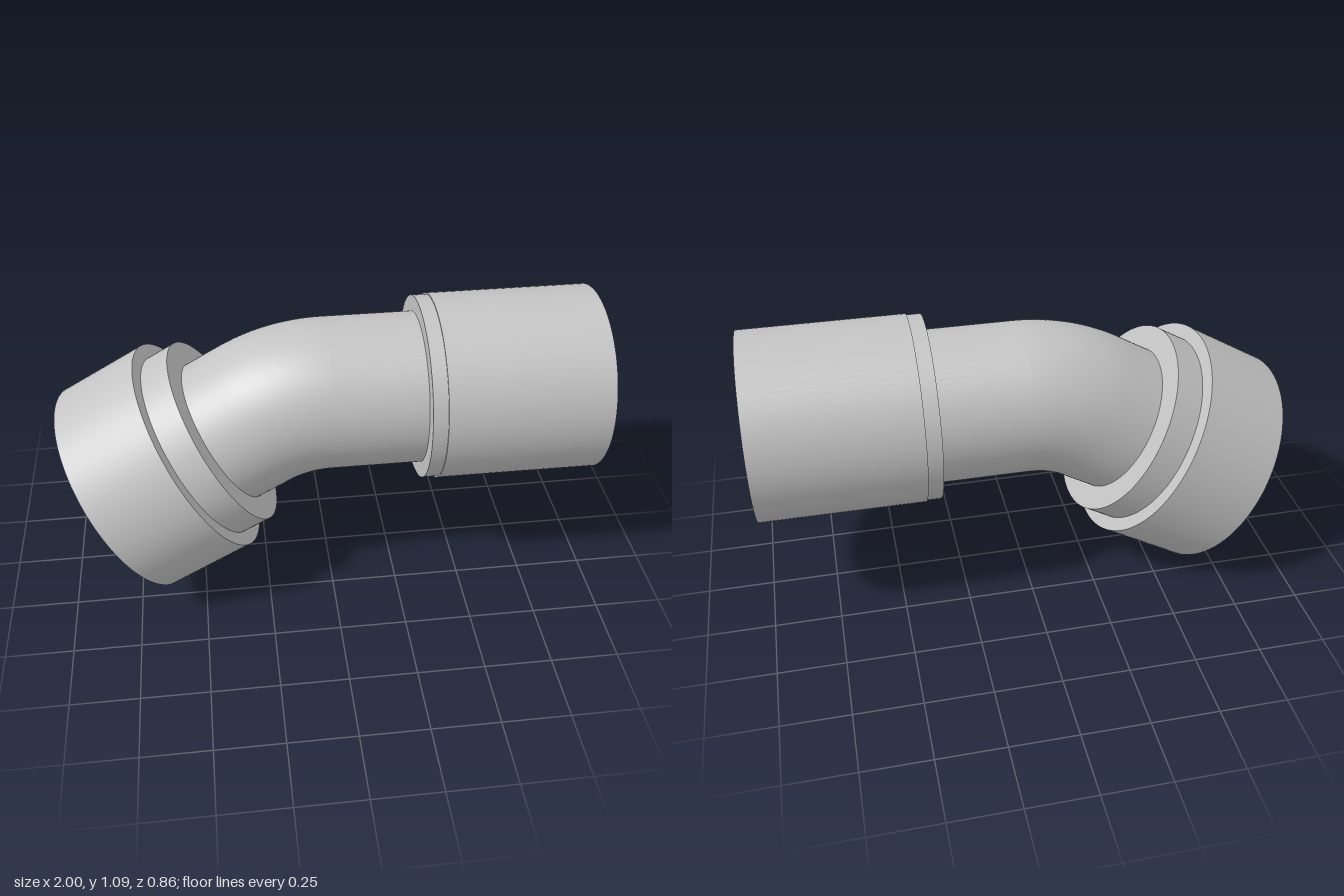
import * as THREE from 'three';
import { mergeGeometries } from 'three/addons/utils/BufferGeometryUtils.js';

const SIDES = 96;
const AXIS_Y = 0.7435;   // height of the straight run
const ANGLE = Math.PI / 6;
const BEND_R = 0.53;     // centreline radius of the elbow
const PIPE = 0.285, BORE = 0.242;

const grey = new THREE.MeshStandardMaterial({ color: 0xc4c4c4, side: THREE.DoubleSide });
grey.name = 'light grey';

// Revolve each profile segment on its own so that every edge stays sharp.
// Points are [radius, distance along axis]; outside runs forward, inside back.
function turned(name, points) {
  const rings = [];
  for (let i = 0; i < points.length - 1; i++) {
    const pair = [points[i], points[i + 1]].map(([r, d]) => new THREE.Vector2(r, d));
    rings.push(new THREE.LatheGeometry(pair, SIDES));
  }
  const mesh = new THREE.Mesh(mergeGeometries(rings), grey);
  mesh.name = name;
  return mesh;
}

function elbowWall(name, radius) {
  const geo = new THREE.TorusGeometry(BEND_R, radius, SIDES, 32, ANGLE);
  geo.rotateZ(Math.PI / 2);
  geo.translate(0, AXIS_Y - BEND_R, 0);
  const mesh = new THREE.Mesh(geo, grey);
  mesh.name = name;
  return mesh;
}

export function createModel() {
  const model = new THREE.Group();
  model.name = 'pipeElbow';

  // Bent section
  const elbow = new THREE.Group();
  elbow.name = 'elbow';
  elbow.add(elbowWall('elbowOuterWall', PIPE), elbowWall('elbowBore', BORE));

  // Straight run with a chamfered tip
  const straight = new THREE.Group();
  straight.name = 'straightEnd';
  straight.rotation.z = -Math.PI / 2;
  straight.position.y = AXIS_Y;
  straight.add(turned('straightPipe', [
    [PIPE, 0], [PIPE, 0.96], [0.268, 0.99], [BORE, 0.99], [BORE, 0],
  ]));

  // Coupling sleeve, open at the front around the pipe tip
  straight.add(turned('couplingSleeve', [
    [PIPE, 0.34], [0.344, 0.34], [0.344, 0.395], [0.349, 0.395], [0.349, 1],
    [0.333, 1], [0.316, 0.95], [0.316, 0.5], [PIPE, 0.5],
  ]));

  // Wide stepped socket at the slanted end; distance 0 is its open face
  const tangent = BEND_R * Math.tan(ANGLE / 2);
  const reach = 0.7425;
  const slanted = new THREE.Group();
  slanted.name = 'slantedEnd';
  slanted.rotation.z = ANGLE - Math.PI / 2;
  slanted.position.set(
    -tangent - reach * Math.cos(ANGLE), AXIS_Y - reach * Math.sin(ANGLE), 0);
  slanted.add(turned('socket', [
    [0.43, 0], [0.43, 0.346], [0.377, 0.346], [0.377, 0.46], [PIPE, 0.46],
  ]));
  slanted.add(turned('socketInside', [
    [BORE, 0.3], [0.385, 0.3], [0.385, 0.17], [0.415, 0.17], [0.415, 0], [0.43, 0],
  ].reverse()));
  slanted.add(turned('neck', [[PIPE, 0.46], [PIPE, reach - tangent]]));
  slanted.add(turned('neckBore', [[BORE, reach - tangent], [BORE, 0.3]]));

  model.add(elbow, straight, slanted);
  return model;
}
